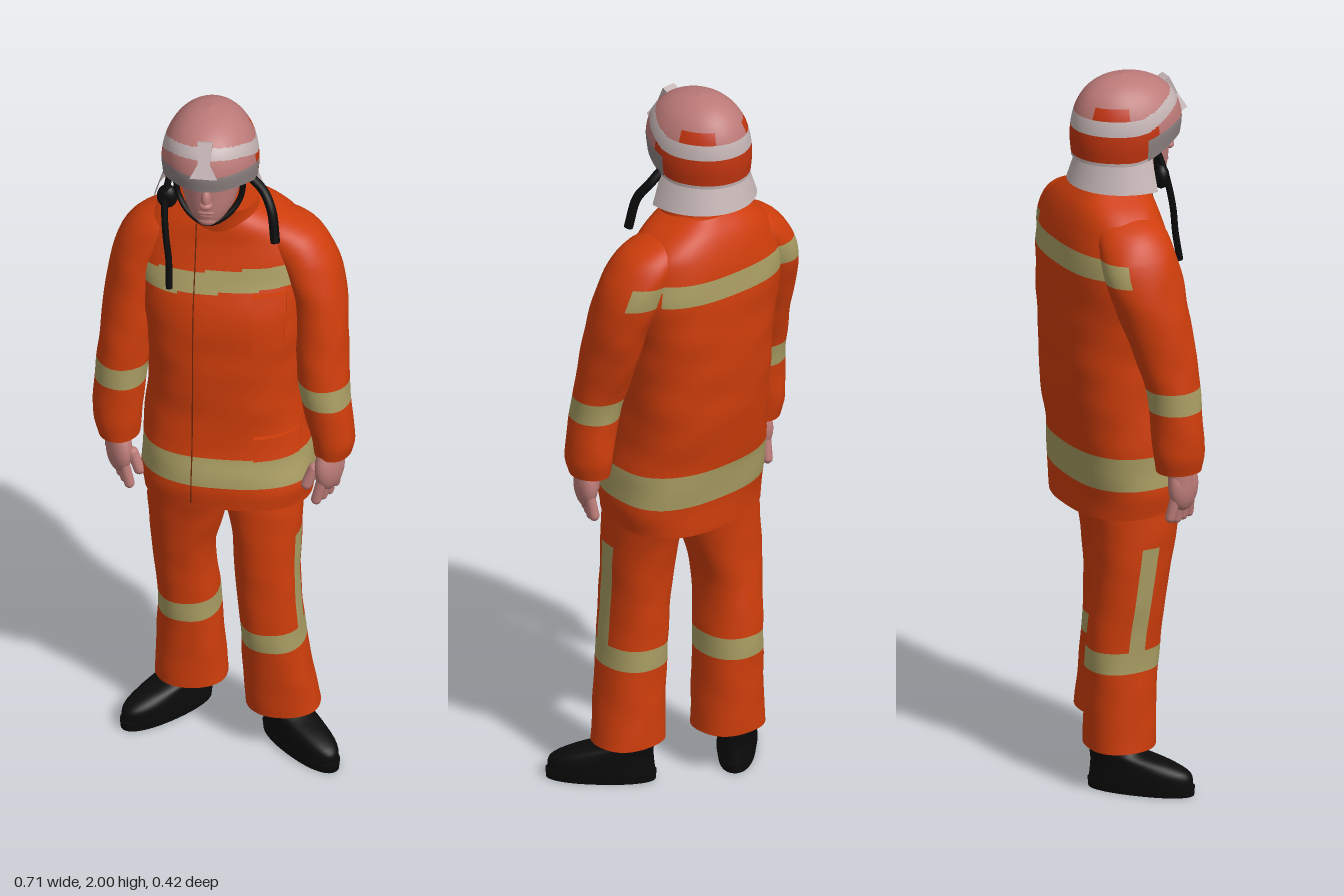
import * as THREE from 'three';

const paint = (name, color, side = THREE.FrontSide) => {
  const m = new THREE.MeshStandardMaterial({ color, side });
  m.name = name;
  return m;
};

// Smooth interpolation of sections [y, cx, cz, rx, rz], listed from bottom to top
function sample(secs, y) {
  let i = 0;
  while (i < secs.length - 2 && y > secs[i + 1][0]) i++;
  const a = secs[i], b = secs[i + 1], h = b[0] - a[0], t = (y - a[0]) / h;
  const slope = (j, k) => {
    const p = secs[Math.max(j - 1, 0)], q = secs[Math.min(j + 1, secs.length - 1)];
    return (q[k] - p[k]) / (q[0] - p[0]);
  };
  return [1, 2, 3, 4].map((k) =>
    (2 * t ** 3 - 3 * t * t + 1) * a[k] + (t ** 3 - 2 * t * t + t) * h * slope(i, k) +
    (3 * t * t - 2 * t ** 3) * b[k] + (t ** 3 - t * t) * h * slope(i + 1, k));
}

const spow = (v, e) => Math.sign(v) * Math.abs(v) ** e;

// Closed skin over horizontal cross-sections; colour(y, dx, dz) picks a material per face
function loft(name, secs, mats, { colour = () => 0, cuts = [], seg = 64, rings = 50, e = 1, fold = 0, warp } = {}) {
  const y0 = secs[0][0], y1 = secs.at(-1)[0];
  const ys = [...cuts];
  for (let i = 0; i <= rings; i++) ys.push(y0 + (y1 - y0) * i / rings);
  ys.sort((a, b) => a - b);
  const pos = [], lists = mats.map(() => []);
  const ring = (y) => {
    const [cx, cz, rx, rz] = sample(secs, y);
    for (let j = 0; j < seg; j++) {
      const a = j / seg * Math.PI * 2;
      const f = 1 + fold * (Math.sin(3 * a + y * 23) + 0.7 * Math.sin(5 * a - y * 41 + 1) + 0.5 * Math.sin(y * 57 + 2 * a));
      const v = new THREE.Vector3(cx + rx * f * spow(Math.sin(a), e), y, cz + rz * f * spow(Math.cos(a), e));
      if (warp) warp(v);
      pos.push(v.x, v.y, v.z);
    }
  };
  ys.forEach(ring);
  for (let i = 0; i < ys.length - 1; i++) {
    const y = (ys[i] + ys[i + 1]) / 2, [, , rx, rz] = sample(secs, y);
    for (let j = 0; j < seg; j++) {
      const a = (j + 0.5) / seg * Math.PI * 2, k = (j + 1) % seg, p = i * seg, q = p + seg;
      lists[colour(y, rx * spow(Math.sin(a), e), rz * spow(Math.cos(a), e))]
        .push(p + j, p + k, q + k, p + j, q + k, q + j);
    }
  }
  // end caps
  [y0, y1].forEach((y, top) => {
    const s = pos.length / 3, [cx, cz] = sample(secs, y);
    ring(y);
    const c = new THREE.Vector3(cx, y, cz);
    if (warp) warp(c);
    pos.push(c.x, c.y, c.z);
    for (let j = 0; j < seg; j++) {
      const k = (j + 1) % seg;
      lists[0].push(s + seg, s + (top ? j : k), s + (top ? k : j));
    }
  });
  const g = new THREE.BufferGeometry();
  g.setAttribute('position', new THREE.Float32BufferAttribute(pos, 3));
  g.setIndex(lists.flat());
  let start = 0;
  lists.forEach((l, i) => { g.addGroup(start, l.length, i); start += l.length; });
  g.computeVertexNormals();
  const mesh = new THREE.Mesh(g, mats);
  mesh.name = name;
  return mesh;
}

export function createModel() {
  const model = new THREE.Group();
  model.name = 'firefighter';
  const orange = paint('orange cloth', 0xce3d0b), lime = paint('reflective tape', 0xa89c62);
  const skin = paint('skin', 0xbc7c78), black = paint('black rubber', 0x0b0b0b);
  const pink = paint('helmet shell', 0xbc7a78), red = paint('helmet red', 0xc0340f);
  const white = paint('helmet white', 0xc4b4b4, THREE.DoubleSide), grey = paint('helmet rim', 0x8c8080);
  const seamDark = paint('seam', 0x6e260a);
  const within = (v, a, b) => v > a && v < b;
  const add = (name, geo, mat, p, scale = [1, 1, 1], parent = model) => {
    const m = new THREE.Mesh(geo, mat);
    m.name = name;
    m.position.set(...p);
    m.scale.set(...scale);
    parent.add(m);
    return m;
  };

  // Jacket body with hem band and chest band
  const torso = [
    [0.795, 0.008, 0.003, 0.225, 0.165], [0.86, 0.008, 0.003, 0.232, 0.168], [1.0, 0, -0.018, 0.222, 0.163],
    [1.1, 0, -0.03, 0.212, 0.168], [1.25, -0.003, -0.036, 0.212, 0.172], [1.4, -0.008, -0.042, 0.226, 0.168],
    [1.5, -0.012, -0.056, 0.236, 0.15], [1.6, -0.013, -0.062, 0.212, 0.126], [1.65, -0.016, -0.058, 0.165, 0.112],
    [1.69, -0.02, -0.05, 0.095, 0.09]];
  const E = 0.8;
  model.add(loft('jacket', torso, [orange, lime], {
    e: E, rings: 110, fold: 0.006, cuts: [0.875, 0.965, 1.485, 1.545],
    colour: (y, x, z) => {
      const tilt = z > 0 ? 0.07 * (x - 0.15) : 0;
      return within(y, 0.875, 0.965) || (within(y - tilt, 1.485, 1.545) && Math.abs(x) < 0.215) ? 1 : 0;
    },
    warp: (v) => { v.y += Math.max(0, (0.95 - v.y) / 0.17) * v.z * 0.12; },
  }));

  // Collar, higher and further out at the front
  model.add(loft('collar', [[1.63, -0.02, -0.045, 0.125, 0.1], [1.68, -0.02, -0.035, 0.105, 0.098], [1.705, -0.02, -0.03, 0.1, 0.1]],
    [orange], { rings: 8, warp: (v) => { v.y += (v.z + 0.03) * 0.12; } }));

  // Pockets, flaps and the front seam are boxes bent to the jacket front
  const frontPatch = (name, mat, x0, x1, y0, y1, depth) => {
    const g = new THREE.BoxGeometry(x1 - x0, y1 - y0, depth, 10, 24, 1).translate((x0 + x1) / 2, (y0 + y1) / 2, 0);
    const p = g.attributes.position;
    for (let i = 0; i < p.count; i++) {
      const [cx, cz, rx, rz] = sample(torso, p.getY(i));
      const u = Math.min(1, Math.abs((p.getX(i) - cx) / rx));
      p.setZ(i, p.getZ(i) + cz + rz * (1 - u ** (2 / E)) ** (E / 2));
    }
    g.computeVertexNormals();
    add(name, g, mat, [0, 0, 0]);
  };
  frontPatch('chestPocket', orange, 0.085, 0.165, 1.31, 1.45, 0.03);
  frontPatch('chestPocketFlap', orange, 0.08, 0.17, 1.41, 1.475, 0.04);
  frontPatch('hipPocketFlap', orange, 0.09, 0.205, 0.97, 1.035, 0.03);
  frontPatch('frontSeam', seamDark, -0.077, -0.074, 0.83, 1.66, 0.008);

  // Sleeves with cuff bands; the back band runs on across them
  const sleeves = {
    left: [[0.955, 0.29, 0.052, 0.05, 0.062], [1.0, 0.292, 0.052, 0.058, 0.07], [1.15, 0.268, 0.048, 0.068, 0.07],
      [1.3, 0.256, 0.012, 0.072, 0.085], [1.4, 0.247, -0.012, 0.076, 0.092], [1.5, 0.222, -0.032, 0.082, 0.1],
      [1.57, 0.187, -0.042, 0.086, 0.094], [1.62, 0.145, -0.048, 0.08, 0.08], [1.65, 0.1, -0.052, 0.045, 0.05]],
    right: [[0.945, -0.286, 0.02, 0.055, 0.062], [1.0, -0.29, 0.018, 0.065, 0.07], [1.15, -0.28, 0.01, 0.07, 0.072],
      [1.3, -0.262, -0.015, 0.075, 0.088], [1.4, -0.25, -0.04, 0.078, 0.1], [1.5, -0.228, -0.06, 0.083, 0.108],
      [1.57, -0.196, -0.062, 0.088, 0.1], [1.62, -0.155, -0.06, 0.08, 0.085], [1.65, -0.115, -0.058, 0.05, 0.055]],
  };
  for (const side in sleeves)
    model.add(loft(side + 'Sleeve', sleeves[side], [orange, lime], {
      seg: 48, fold: 0.012, cuts: [1.12, 1.182, 1.485, 1.545],
      colour: (y, x, z) => within(y, 1.12, 1.182) || (within(y, 1.485, 1.545) && z < -0.062) ? 1 : 0,
    }));

  // Trouser legs with knee bands and outer side stripes
  const legs = {
    left: [[0.12, 0.157, 0.046, 0.1, 0.09], [0.25, 0.143, 0.055, 0.092, 0.094], [0.4, 0.129, 0.062, 0.085, 0.1],
      [0.55, 0.118, 0.06, 0.087, 0.1], [0.7, 0.113, 0.048, 0.094, 0.108], [0.8, 0.105, 0.03, 0.105, 0.12], [0.9, 0.1, 0.01, 0.105, 0.12]],
    right: [[0.12, -0.102, -0.062, 0.098, 0.093], [0.25, -0.104, -0.06, 0.09, 0.095], [0.4, -0.108, -0.055, 0.083, 0.1],
      [0.55, -0.119, -0.04, 0.084, 0.1], [0.7, -0.108, -0.022, 0.105, 0.108], [0.8, -0.1, -0.01, 0.11, 0.12], [0.9, -0.1, 0, 0.11, 0.12]],
  };
  for (const [side, s, back] of [['left', 1, 0.006], ['right', -1, -0.025]])
    model.add(loft(side + 'TrouserLeg', legs[side], [orange, lime], {
      e: 0.88, fold: 0.008, cuts: [0.345, 0.405, 0.7],
      colour: (y, x, z) => within(y, 0.345, 0.405) ||
        (within(y, 0.405, 0.7) && x * s > 0 && within(z, back, back + 0.046)) ? 1 : 0,
    }));

  // Boots, toes turned out
  for (const [side, x, z, turn] of [['left', 0.17, 0.052, 1], ['right', -0.125, -0.07, -1]]) {
    const boot = new THREE.Group();
    boot.name = side + 'Boot';
    boot.add(loft('sole', [[0, 0, 0.058, 0.05, 0.146], [0.025, 0, 0.058, 0.054, 0.148]], [black], { rings: 1, e: 0.9 }));
    boot.add(loft('upper', [[0.022, 0, 0.057, 0.052, 0.144], [0.06, 0, 0.055, 0.053, 0.138], [0.085, 0, 0.03, 0.052, 0.112],
      [0.11, 0, -0.012, 0.052, 0.072], [0.16, 0, -0.02, 0.052, 0.06]], [black], { rings: 20, e: 0.9 }));
    boot.position.set(x, 0, z);
    boot.rotation.y = turn * Math.PI / 4;
    model.add(boot);
  }

  // Hands: palm, four fingers and a thumb, fingers hanging down
  const ball = new THREE.SphereGeometry(1, 24, 16);
  for (const [side, x, y, z, s] of [['left', 0.284, 0.93, 0.072, 1], ['right', -0.284, 0.912, 0.035, -1]]) {
    const hand = new THREE.Group();
    hand.name = side + 'Hand';
    add('wrist', new THREE.CylinderGeometry(0.03, 0.032, 0.08, 20), skin, [0, 0.03, -0.01], [0.9, 1, 1], hand);
    add('palm', ball, skin, [0, -0.012, 0], [0.028, 0.062, 0.047], hand);
    for (let i = 0; i < 4; i++) {
      const f = add('finger', new THREE.CapsuleGeometry(0.0125, 0.055, 4, 10), skin,
        [-s * 0.006, i === 3 ? -0.057 : -0.065, 0.033 - i * 0.022], [1, 1, 1], hand);
      f.rotation.set((i - 1.5) * 0.1, 0, -s * 0.18);
    }
    const thumb = add('thumb', new THREE.CapsuleGeometry(0.0135, 0.045, 4, 10), skin, [-s * 0.026, -0.03, 0.04], [1, 1, 1], hand);
    thumb.rotation.set(-0.3, 0, -s * 0.25);
    hand.position.set(x, y, z);
    hand.rotation.y = -s * 0.5;
    hand.scale.setScalar(1.15);
    model.add(hand);
  }

  // Head and face
  const hx = -0.042;
  model.add(loft('head', [[1.6, hx + 0.01, -0.04, 0.065, 0.07], [1.67, hx, -0.03, 0.062, 0.075], [1.695, hx, 0.01, 0.05, 0.085],
    [1.73, hx, 0.008, 0.067, 0.1], [1.78, hx, 0.002, 0.078, 0.11], [1.85, hx, -0.005, 0.084, 0.118], [1.9, hx, -0.01, 0.08, 0.11]],
  [skin], { seg: 40, rings: 30 }));
  add('nose', ball, skin, [hx, 1.79, 0.11], [0.014, 0.03, 0.02]);
  add('noseTip', ball, skin, [hx, 1.773, 0.117], [0.018, 0.012, 0.016]);
  add('upperLip', ball, skin, [hx, 1.741, 0.103], [0.024, 0.006, 0.009]);
  add('lowerLip', ball, skin, [hx, 1.73, 0.1], [0.021, 0.006, 0.009]);
  add('chin', ball, skin, [hx, 1.708, 0.085], [0.028, 0.018, 0.022]);
  for (const s of [-1, 1]) add('ear', ball, skin, [hx + s * 0.08, 1.775, -0.01], [0.012, 0.03, 0.02]);

  // Helmet shell, raised at the front, with red and white bands and a grey front rim
  model.add(loft('helmet', [[1.78, -0.045, -0.012, 0.126, 0.15], [1.84, -0.045, -0.012, 0.13, 0.154], [1.9, -0.045, -0.014, 0.121, 0.143],
    [1.945, -0.045, -0.016, 0.1, 0.12], [1.975, -0.045, -0.018, 0.072, 0.088], [1.992, -0.045, -0.02, 0.04, 0.05], [2, -0.045, -0.02, 0.003, 0.004]],
  [pink, white, red, grey], {
    rings: 70, seg: 80,
    colour: (y, x, z) => {
      const band = 1.864 + 0.28 * Math.max(0, z);
      if (z > 0 && y < 1.842) return 3;
      if (within(y, band, band + 0.042)) return 1;
      if (y < band) return z < 0.035 ? (y < 1.79 ? 1 : 2) : 0;
      return y < 1.938 && z < -0.04 && Math.abs(x) > 0.05 ? 2 : 0;
    },
    warp: (v) => { v.y += (2 - v.y) / 0.22 * 0.05 * THREE.MathUtils.smoothstep(v.z, -0.06, 0.12); },
  }));
  const crest = new THREE.Shape([[-0.036, 0], [0.036, 0], [0.016, 0.04], [0.02, 0.1], [-0.02, 0.1], [-0.016, 0.04]]
    .map((p) => new THREE.Vector2(...p)));
  add('frontPlate', new THREE.ExtrudeGeometry(crest, { depth: 0.018, bevelEnabled: false }), white, [-0.045, 1.876, 0.139])
    .rotation.x = -0.48;

  // Neck guard hanging behind the helmet
  add('neckGuard', new THREE.CylinderGeometry(0.122, 0.15, 0.09, 48, 4, true, Math.PI / 2 - 0.12, Math.PI + 0.24),
    white, [-0.045, 1.752, -0.012], [1, 1, 1.06]);

  // Chin strap and loose strap ends
  const strap = (name, pts, r) => add(name, new THREE.TubeGeometry(
    new THREE.CatmullRomCurve3(pts.map((p) => new THREE.Vector3(...p))), 40, r, 10), black, [0, 0, 0]);
  strap('chinStrap', [[-0.135, 1.83, 0.03], [-0.125, 1.75, 0.04], [-0.09, 1.705, 0.065], [hx, 1.686, 0.078],
    [0.006, 1.705, 0.065], [0.041, 1.75, 0.04], [0.05, 1.83, 0.03]], 0.008);
  strap('leftStrapEnd', [[0.065, 1.8, 0.01], [0.1, 1.765, 0.02], [0.125, 1.72, 0.045], [0.138, 1.63, 0.065]], 0.013);
  strap('rightStrapEnd', [[-0.15, 1.8, 0.03], [-0.16, 1.73, 0.05], [-0.155, 1.64, 0.072], [-0.145, 1.56, 0.085], [-0.142, 1.48, 0.1]], 0.009);
  add('rightBuckle', ball, black, [-0.155, 1.735, 0.035], [0.028, 0.035, 0.022]);
  return model;
}
